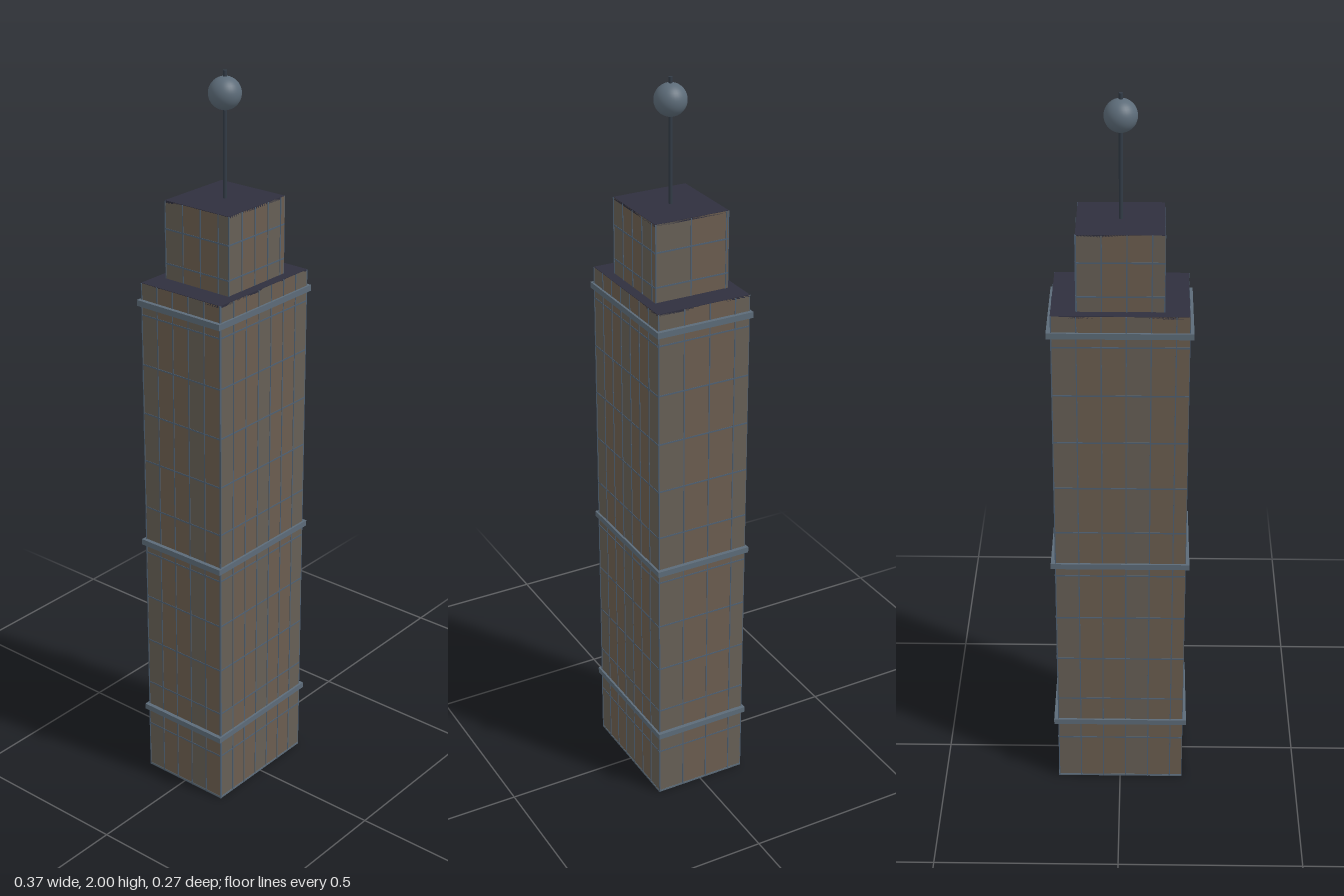
import * as THREE from 'three';

const mat = (name, color, extra = {}) => {
  const m = new THREE.MeshStandardMaterial({ color, ...extra });
  m.name = name;
  return m;
};

export function createModel() {
  const group = new THREE.Group();
  group.name = 'tower';
  const brown = mat('brown cladding', 0x6b5d4f);
  const grey = mat('grey cladding', 0x665f55);
  const steel = mat('steel', 0x5c6b78);
  const frame = mat('window frame', 0x4f6072);
  const roofMat = mat('dark roof', 0x2f2f3e);
  const mastMat = mat('dark mast', 0x323b46);

  const add = (parent, name, geometry, material, x, y, z) => {
    const mesh = new THREE.Mesh(geometry, material);
    mesh.name = name;
    mesh.position.set(x, y, z);
    parent.add(mesh);
    return mesh;
  };
  const box = (parent, name, material, w, h, d, x, y, z) =>
    add(parent, name, new THREE.BoxGeometry(w, h, d), material, x, y, z);

  // One wall: vertical cladding strips, mullions between them and floor lines
  function facade(parent, name, width, depth, angle, y0, y1, step, rows) {
    const wall = new THREE.Group();
    wall.name = name;
    wall.rotation.y = angle;
    const h = y1 - y0, mid = (y0 + y1) / 2;
    for (let i = 0, x = -width / 2; x < width / 2 - 0.001; i++, x += step) {
      const w = Math.min(step, width / 2 - x);
      add(wall, 'claddingStrip', new THREE.PlaneGeometry(w, h), i % 3 === 0 ? grey : brown, x + w / 2, mid, depth / 2);
      box(wall, 'mullion', frame, 0.003, h, 0.003, x + 0.0015, mid, depth / 2);
    }
    for (const y of rows) box(wall, 'floorLine', frame, width, 0.004, 0.002, 0, y, depth / 2);
    parent.add(wall);
  }

  // Four walls with a roof and floor plate
  function block(name, w, d, y0, y1, steps, rows) {
    const part = new THREE.Group();
    part.name = name;
    facade(part, 'frontWall', w, d, 0, y0, y1, steps[0], rows);
    facade(part, 'leftWall', d, w, Math.PI / 2, y0, y1, steps[1], rows);
    facade(part, 'backWall', w, d, Math.PI, y0, y1, steps[2], rows);
    facade(part, 'rightWall', d, w, -Math.PI / 2, y0, y1, steps[3], rows);
    box(part, 'roof', roofMat, w, 0.006, d, 0, y1 - 0.002, 0);
    group.add(part);
  }

  const rows = Array.from({ length: 10 }, (_, i) => 0.14 + i * 0.1378);
  block('shaft', 0.35, 0.262, 0, 1.466, [0.05, 0.073, 0.063, 0.052], rows);
  block('crown', 0.222, 0.208, 1.466, 1.674, [0.051, 0.1, 0.063, 0.058], [1.508, 1.6]);
  box(group, 'basePlate', steel, 0.352, 0.006, 0.264, 0, 0.003, 0);

  // Projecting steel bands
  for (const y of [0.198, 0.724, 1.414])
    box(group, 'band', steel, 0.372, 0.016, 0.274, 0, y, 0);

  // Antenna
  add(group, 'mast', new THREE.CylinderGeometry(0.005, 0.005, 0.33, 12), mastMat, 0, 1.835, 0);
  add(group, 'mastBall', new THREE.SphereGeometry(0.042, 32, 20), steel, 0, 1.943, 0);
  return group;
}
